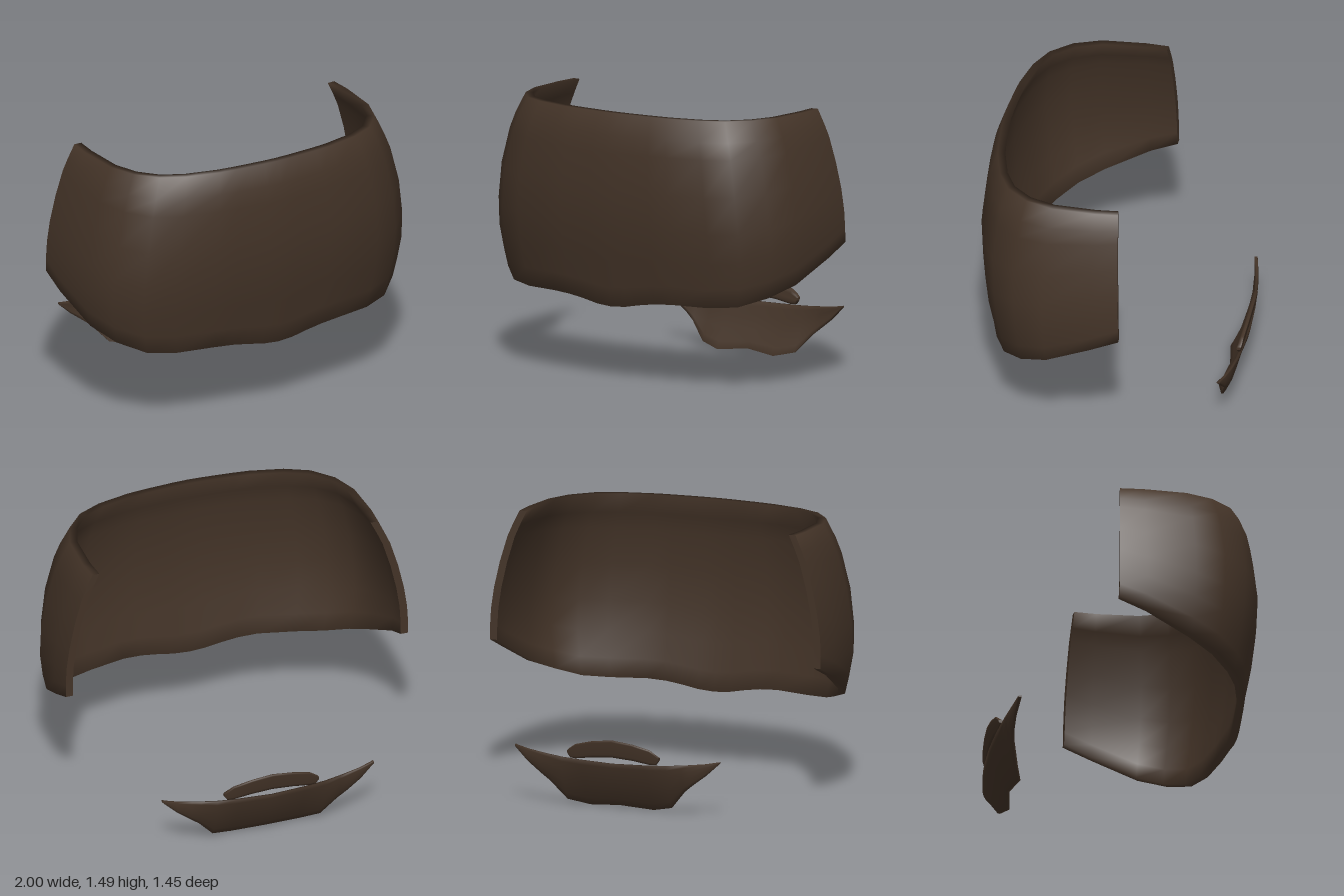
import * as THREE from 'three';

const lerp = THREE.MathUtils.lerp;

// Linear lookup of column k in a table whose first column rises
function lookup(table, t, k) {
  let i = 0;
  while (i < table.length - 2 && t > table[i + 1][0]) i++;
  const a = table[i], b = table[i + 1];
  return lerp(a[k], b[k], THREE.MathUtils.clamp((t - a[0]) / (b[0] - a[0]), 0, 1));
}

// Turn a half list (centre to +x) into a full list from -x to +x
function mirrored(half) {
  const left = half.slice(1).reverse().map(([x, ...rest]) => [-x, ...rest]);
  return [...left, ...half];
}

// Closed thin shell from front and back grids of points, [column][row]
function shell(front, back) {
  const positions = [], indices = [];
  const push = (p) => positions.push(...p) / 3 - 1;
  const rings = front.map((f, i) => [...f, ...[...back[i]].reverse()].map(push));
  const n = rings[0].length, rows = n / 2;
  for (let i = 0; i < rings.length - 1; i++) {
    for (let k = 0; k < n; k++) {
      const q = (k + 1) % n;
      const a = rings[i][k], b = rings[i + 1][k], c = rings[i + 1][q], d = rings[i][q];
      indices.push(a, b, c, a, c, d);
    }
  }
  // End caps with their own vertices so the ends stay crisp
  [0, front.length - 1].forEach((i) => {
    const f = front[i].map(push), g = back[i].map(push);
    for (let j = 0; j < rows - 1; j++) {
      const [a, b, c, d] = [f[j], f[j + 1], g[j + 1], g[j]];
      if (i === 0) indices.push(a, b, c, a, c, d);
      else indices.push(a, c, b, a, d, c);
    }
  });
  const geo = new THREE.BufferGeometry();
  geo.setAttribute('position', new THREE.Float32BufferAttribute(positions, 3));
  geo.setIndex(indices);
  geo.computeVertexNormals();
  return geo;
}

// Wraparound shield: plan outline scaled by height
function shieldGeometry() {
  // x, z, lower edge height
  const plan = mirrored([
    [0, 0.725, 0.43], [0.1, 0.722, 0.437], [0.2, 0.715, 0.455], [0.3, 0.708, 0.469],
    [0.42, 0.695, 0.476], [0.64, 0.645, 0.473], [0.8, 0.57, 0.483], [0.92, 0.44, 0.53],
    [0.985, 0.27, 0.59], [1, 0, 0.71], [0.99, -0.155, 0.775],
  ]);
  // height, width scale, depth scale, rear edge scale
  const profile = [
    [0.43, 0.93, 0.89, 1], [0.56, 0.96, 0.912, 1], [0.7, 0.99, 0.952, 1],
    [0.8, 1, 0.973, 1], [0.95, 0.992, 0.993, 0.98], [1.1, 0.97, 1, 0.96],
    [1.3, 0.92, 0.966, 0.9], [1.38, 0.889, 0.945, 0.87], [1.5, 0.83, 0.883, 0.81],
  ];
  const steps = [0, 0.1, 0.24, 0.4, 0.6, 0.8, 0.89, 1];
  const thickness = 0.042;
  const outer = plan.map(([x, z, low]) => steps.map((s) => {
    const y = lerp(low, 1.495, s);
    return [x * lookup(profile, y, 1), y, z * lookup(profile, y, z < 0 ? 3 : 2)];
  }));
  // Inner wall: offset inward along the plan normal
  const inner = outer.map((col, i) => col.map(([x, y, z], j) => {
    const p = outer[Math.max(i - 1, 0)][j], q = outer[Math.min(i + 1, outer.length - 1)][j];
    const dx = q[0] - p[0], dz = q[2] - p[2], len = Math.hypot(dx, dz);
    return [x + (dz / len) * thickness, y, z - (dx / len) * thickness];
  }));
  return shell(outer, inner);
}

// Small curved plate: columns of x, top y, top z, bottom y, bottom z (rear face)
function plateGeometry(half, bulge, thickness, edge) {
  const steps = [0, 0.15, 0.4, 0.7, 0.9, 1];
  const columns = mirrored(half);
  const back = columns.map(([x, ty, tz, by, bz]) => steps.map((s) => {
    const swell = bulge * Math.sin(Math.PI * s) * Math.min(1, (ty - by) / 0.2);
    return [x, lerp(by, ty, s), lerp(bz, tz, s) - swell];
  }));
  const front = back.map((col) => col.map(([x, y, z], j) => {
    const end = j === 0 || j === steps.length - 1;
    return [x, y, z + (end ? edge : thickness)];
  }));
  return shell(front, back);
}

export function createModel() {
  const model = new THREE.Group();
  const brown = new THREE.MeshStandardMaterial({ color: 0x433327 });
  brown.name = 'dark brown';
  const add = (name, geometry) => {
    const mesh = new THREE.Mesh(geometry, brown);
    mesh.name = name;
    model.add(mesh);
  };

  add('wraparoundShield', shieldGeometry());

  // Lower rear plate with swept-up tips
  add('lowerRearPlate', plateGeometry([
    [0, 0.27, -0.717, 0.025, -0.615], [0.19, 0.275, -0.71, 0.008, -0.585],
    [0.31, 0.28, -0.7, 0.035, -0.618], [0.4, 0.288, -0.688, 0.135, -0.65],
    [0.45, 0.293, -0.68, 0.175, -0.66], [0.53, 0.302, -0.666, 0.235, -0.66],
    [0.61, 0.317, -0.65, 0.308, -0.65],
  ], 0.016, 0.018, 0.012));

  // Upper rear arch above the lower plate
  add('upperRearArch', plateGeometry([
    [0, 0.4, -0.727, 0.305, -0.713], [0.12, 0.386, -0.724, 0.296, -0.71],
    [0.22, 0.361, -0.716, 0.281, -0.705], [0.255, 0.337, -0.712, 0.283, -0.703],
    [0.272, 0.322, -0.708, 0.305, -0.703],
  ], 0.005, 0.022, 0.012));

  return model;
}
